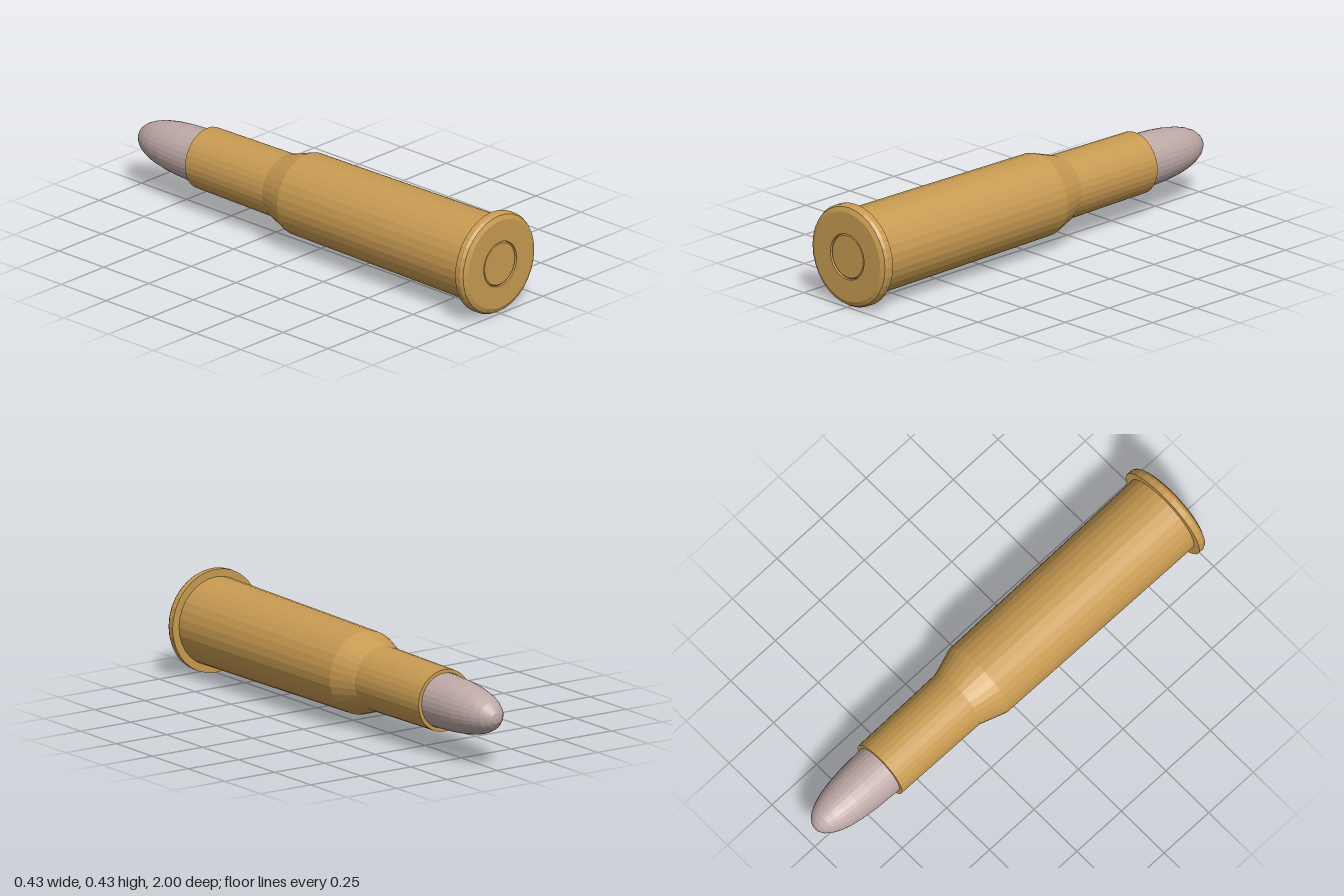
import * as THREE from 'three';

const SIDES = 32;
const AXIS_HEIGHT = 0.216;

// Lathe a [radius, z] profile, listed from back (-z) to front (+z), around the z axis.
function turned(name, profile, material) {
  const points = profile.map(([r, z]) => new THREE.Vector2(r, z));
  const geometry = new THREE.LatheGeometry(points, SIDES).toNonIndexed();
  geometry.rotateX(Math.PI / 2);
  geometry.computeVertexNormals(); // faceted
  const mesh = new THREE.Mesh(geometry, material);
  mesh.name = name;
  mesh.position.y = AXIS_HEIGHT;
  return mesh;
}

export function createModel() {
  const brass = new THREE.MeshStandardMaterial({ color: 0xc89b52 });
  brass.name = 'brass';
  const lead = new THREE.MeshStandardMaterial({ color: 0xbea9a6 });
  lead.name = 'pale metal';

  const group = new THREE.Group();
  group.name = 'cartridge';

  // Rounded projectile, seated inside the neck
  group.add(turned('bullet', [
    [0, -1], [0.022, -0.996], [0.042, -0.982], [0.06, -0.96], [0.077, -0.925],
    [0.091, -0.88], [0.102, -0.82], [0.109, -0.75], [0.114, -0.64], [0.114, -0.55],
  ], lead));

  // Case: mouth, neck, shoulder and tapered body
  group.add(turned('case', [
    [0.114, -0.55], [0.115, -0.635], [0.13, -0.635], [0.135, -0.2],
    [0.174, -0.08], [0.184, 0.955],
  ], brass));

  // Rim with rounded front edge and the primer pocket
  group.add(turned('rim', [
    [0.18, 0.953], [0.216, 0.953], [0.216, 0.978], [0.209, 0.991], [0.19, 1],
    [0.097, 1], [0.095, 0.985],
  ], brass));

  // Primer set in the pocket
  group.add(turned('primer', [
    [0.095, 0.985], [0.095, 0.992], [0.089, 0.997], [0, 0.997],
  ], brass));

  return group;
}
